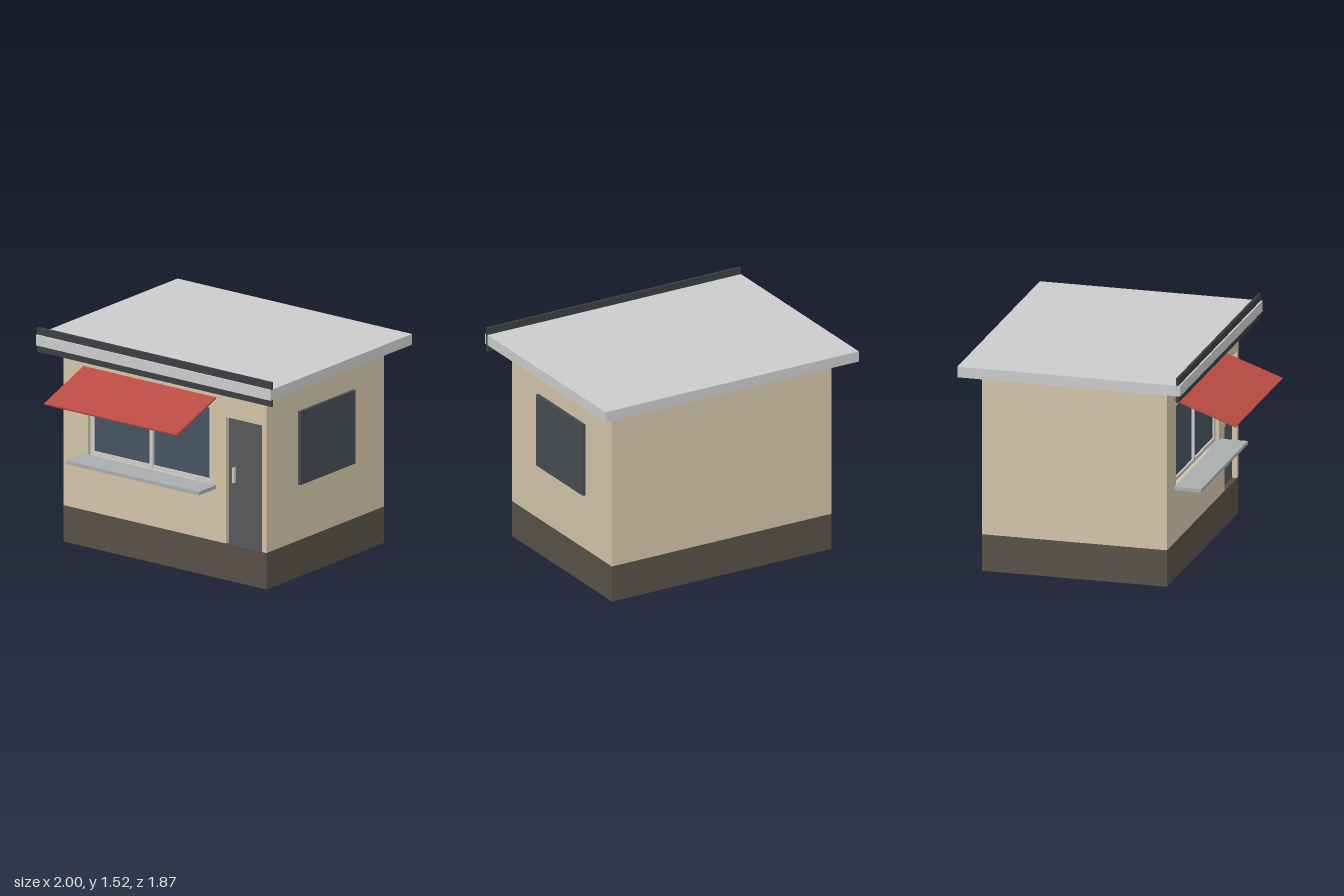
import * as THREE from 'three';

export function createModel() {
  const group = new THREE.Group();
  group.name = 'kiosk';
  const mat = (color) => new THREE.MeshStandardMaterial({ color });
  const wall = mat(0xd2c3a9), plinth = mat(0x565047), grey = mat(0xc2c2c2), dark = mat(0x3a3e42);
  const sillGrey = mat(0xa9acae), glass = mat(0x455361), sideGlass = mat(0x464c52);
  const doorGrey = mat(0x55585a), red = mat(0xb94b43);

  function add(name, geometry, material) {
    const mesh = new THREE.Mesh(geometry, material);
    mesh.name = name;
    group.add(mesh);
    return mesh;
  }
  // box from its minimum and maximum on each axis
  function box(name, material, [x0, x1], [y0, y1], [z0, z1]) {
    const mesh = add(name, new THREE.BoxGeometry(x1 - x0, y1 - y0, z1 - z0), material);
    mesh.position.set((x0 + x1) / 2, (y0 + y1) / 2, (z0 + z1) / 2);
    return mesh;
  }

  const W = 0.866, BASE = 0.258, TOP = 1.4, FRONT = 0.5, BACK = -0.8, RECESS = 0.05;
  const win = { x: [-0.655, 0.392], y: [0.655, 1.21] };
  const door = { x: [0.52, 0.826], top: 1.155 };
  const inner = FRONT - RECESS;

  // plinth and main body
  box('plinth', plinth, [-W, W], [0, BASE], [BACK, FRONT]);
  box('walls', wall, [-W, W], [BASE, TOP], [BACK, inner]);

  // front wall with a door notch and a window opening
  const pts = (list) => list.map(([x, y]) => new THREE.Vector2(x, y));
  const front = new THREE.Shape(pts([
    [-W, BASE], [door.x[0], BASE], [door.x[0], door.top], [door.x[1], door.top],
    [door.x[1], BASE], [W, BASE], [W, TOP], [-W, TOP],
  ]));
  front.holes.push(new THREE.Path(pts([
    [win.x[0], win.y[0]], [win.x[0], win.y[1]], [win.x[1], win.y[1]], [win.x[1], win.y[0]],
  ])));
  const frontWall = add('frontWall',
    new THREE.ExtrudeGeometry(front, { depth: RECESS, bevelEnabled: false }), wall);
  frontWall.position.z = inner;

  // serving window: glass, frame bars and mullion
  const f = 0.031;
  const frameZ = [inner, inner + 0.025];
  box('windowGlass', glass, win.x, win.y, [inner, inner + 0.012]);
  box('windowFrameRight', grey, [win.x[0], win.x[0] + f], win.y, frameZ);
  box('windowFrameLeft', grey, [win.x[1] - f, win.x[1]], win.y, frameZ);
  box('windowFrameBottom', grey, win.x, [win.y[0], win.y[0] + 0.025], frameZ);
  box('windowFrameTop', grey, win.x, [win.y[1] - 0.025, win.y[1]], frameZ);
  box('windowMullion', grey, [-0.145, -0.12], win.y, [inner, inner + 0.03]);

  // counter shelf
  box('counter', sillGrey, [-0.695, 0.435], [0.63, 0.655], [inner + 0.01, 0.69]);

  // door with handle
  box('door', doorGrey, door.x, [BASE, door.top], [inner, inner + 0.015]);
  box('doorHandle', grey, [0.565, 0.58], [0.695, 0.8], [inner + 0.015, inner + 0.04]);

  // side window
  box('sideWindow', sideGlass, [W - 0.01, 0.888], [0.655, 1.175], [-0.456, 0.155]);

  // sloping awning
  const dz = 0.435, dy = -0.155;
  const awning = add('awning',
    new THREE.BoxGeometry(1.13, 0.012, Math.hypot(dz, dy)), red);
  awning.position.set(-0.13, 1.195, FRONT + dz / 2 - 0.002);
  awning.rotation.x = Math.atan2(-dy, dz);

  // roof slab and front fascia board
  box('roof', grey, [-1, 1], [TOP - 0.003, 1.472], [-0.935, 0.63]);
  box('fascia', dark, [-1, 1], [1.35, 1.522], [0.6, 0.618]);

  return group;
}
